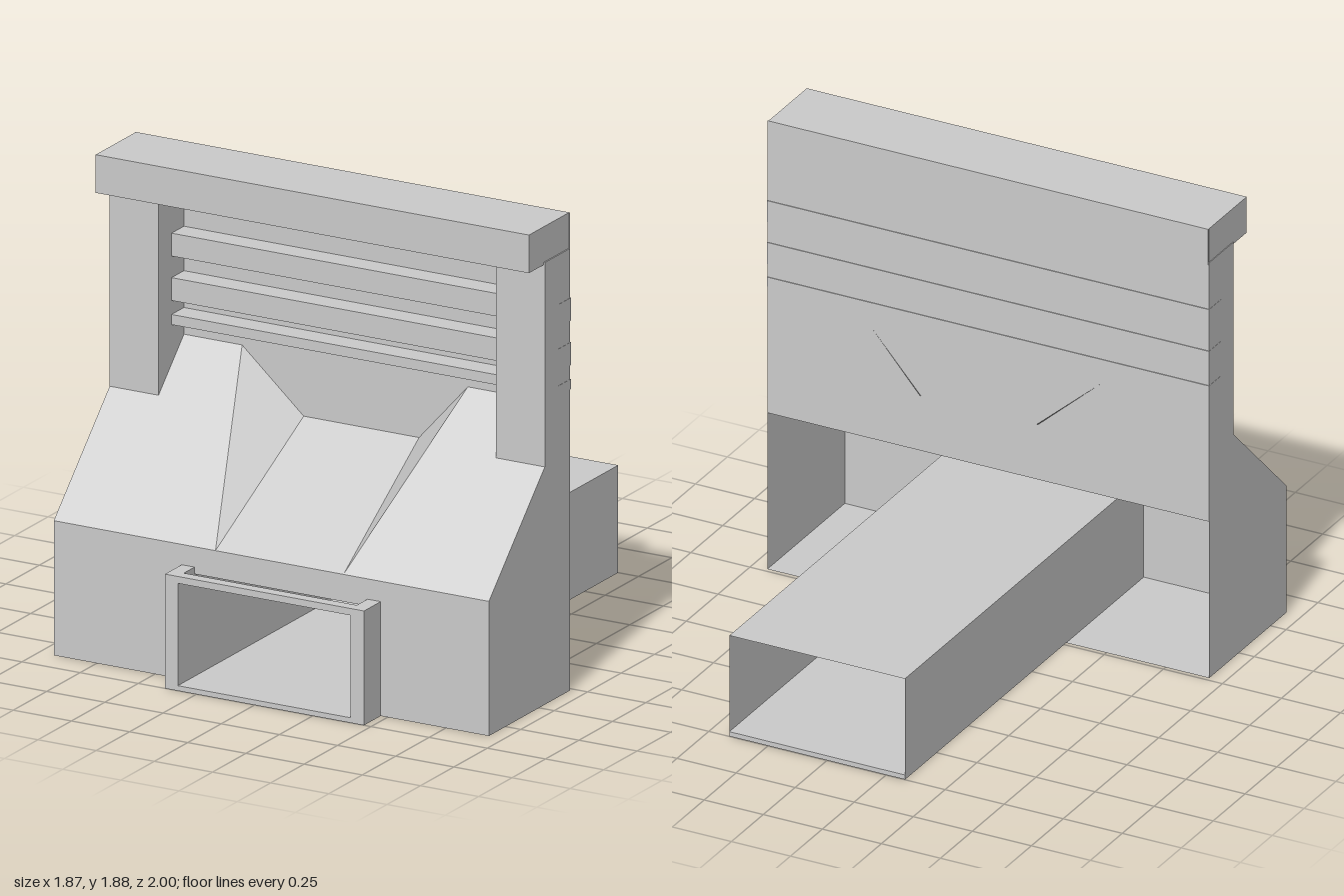
import * as THREE from 'three';

const mat = new THREE.MeshStandardMaterial({ color: 0xcccccc, flatShading: true, side: THREE.DoubleSide });

export function createModel() {
  const model = new THREE.Group();

  const add = (name, geo) => {
    const mesh = new THREE.Mesh(geo, mat);
    mesh.name = name;
    model.add(mesh);
    return mesh;
  };

  // box given by its extents on each axis
  const box = (name, [x0, x1], [y0, y1], [z0, z1]) => {
    const geo = new THREE.BoxGeometry(x1 - x0, y1 - y0, z1 - z0);
    geo.translate((x0 + x1) / 2, (y0 + y1) / 2, (z0 + z1) / 2);
    return add(name, geo);
  };

  // thin flat panel from a loop of convex corners
  const panel = (name, ...corners) => {
    const geo = new THREE.BufferGeometry();
    const pos = [];
    for (let i = 1; i < corners.length - 1; i++) pos.push(...corners[0], ...corners[i], ...corners[i + 1]);
    geo.setAttribute('position', new THREE.Float32BufferAttribute(pos, 3));
    geo.computeVertexNormals();
    return add(name, geo);
  };

  // rectangle with a rectangular hole, in the xy plane
  const rect = (P, x0, x1, y0, y1) => {
    const p = new P();
    p.moveTo(x0, y0).lineTo(x1, y0).lineTo(x1, y1).lineTo(x0, y1).closePath();
    return p;
  };
  const holed = (outer, hole) => {
    const s = rect(THREE.Shape, ...outer);
    s.holes.push(rect(THREE.Path, ...hole));
    return s;
  };

  const W = 0.935, BACK = 0.267, FRONT = 0.875, EAVE = 0.53, RIDGE = 1.12;
  const L = -0.33, R = 0.413, DUCT_TOP = 0.423;

  // hollow lower body, open at the back
  const wall = new THREE.ShapeGeometry(holed([-W, W, 0, EAVE], [L, R, 0.02, DUCT_TOP]));
  add('frontWall', wall.translate(0, 0, FRONT));
  panel('bodyFloor', [-W, 0, BACK], [W, 0, BACK], [W, 0, FRONT], [-W, 0, FRONT]);
  for (const [s, side] of [[1, 'left'], [-1, 'right']]) {
    panel(side + 'Wall', [s * W, 0, BACK], [s * W, RIDGE, BACK], [s * W, EAVE, FRONT], [s * W, 0, FRONT]);
  }

  // sloping shoulders with a tapered trough between them
  const trough = {
    left: { s: 1, front: [0.31, EAVE, FRONT], low: [0.285, 0.89, 0.258], top: [0.495, RIDGE, BACK] },
    right: { s: -1, front: [-0.24, EAVE, FRONT], low: [-0.21, 0.89, 0.258], top: [-0.475, RIDGE, BACK] },
  };
  for (const [side, t] of Object.entries(trough)) {
    panel(side + 'Shoulder', [t.s * W, EAVE, FRONT], t.front, t.top, [t.s * W, RIDGE, BACK]);
    panel(side + 'TroughCheek', t.front, t.low, t.top);
  }
  panel('troughFloor', trough.right.front, trough.left.front, trough.left.low, trough.right.low);

  // upright back panel, side pillars and overhanging lintel
  panel('backPanel', [-W, 0.655, BACK], [W, 0.655, BACK], [W, 1.88, BACK], [-W, 1.88, BACK]);
  for (const [s, side] of [[1, 'left'], [-1, 'right']]) {
    box(side + 'Pillar', s > 0 ? [0.725, W] : [-W, -0.725], [0.935, 1.74], [BACK, 0.457]);
  }
  box('lintel', [-0.932, 0.93], [1.73, 1.88], [0.265, 0.567]);

  // horizontal slats between the pillars
  for (const y of [[1.455, 1.545], [1.28, 1.37], [1.185, 1.225]]) {
    box('slat', [-0.936, 0.936], y, [0.264, 0.36]);
  }

  // long rectangular duct, open at both ends
  panel('ductTop', [L, DUCT_TOP, -1], [R, DUCT_TOP, -1], [R, DUCT_TOP, FRONT], [L, DUCT_TOP, FRONT]);
  for (const x of [L, R]) {
    panel('ductSide', [x, 0, -1], [x, DUCT_TOP, -1], [x, DUCT_TOP, FRONT], [x, 0, FRONT]);
  }
  box('ductFloor', [L, R], [0.001, 0.02], [-1, FRONT]);

  // mouth frame around the front opening, with a slot along its top
  const lip = new THREE.ExtrudeGeometry(
    holed([-0.385, 0.47, 0, 0.45], [L, R, 0.02, DUCT_TOP]), { depth: 0.045, bevelEnabled: false });
  add('mouthLip', lip.translate(0, 0, 0.955));
  box('mouthRightSide', [-0.385, L], [0, 0.45], [FRONT, 0.955]);
  box('mouthLeftSide', [R, 0.47], [0, 0.45], [FRONT, 0.955]);
  box('mouthFloor', [L, R], [0, 0.02], [FRONT, 0.955]);

  return model;
}
